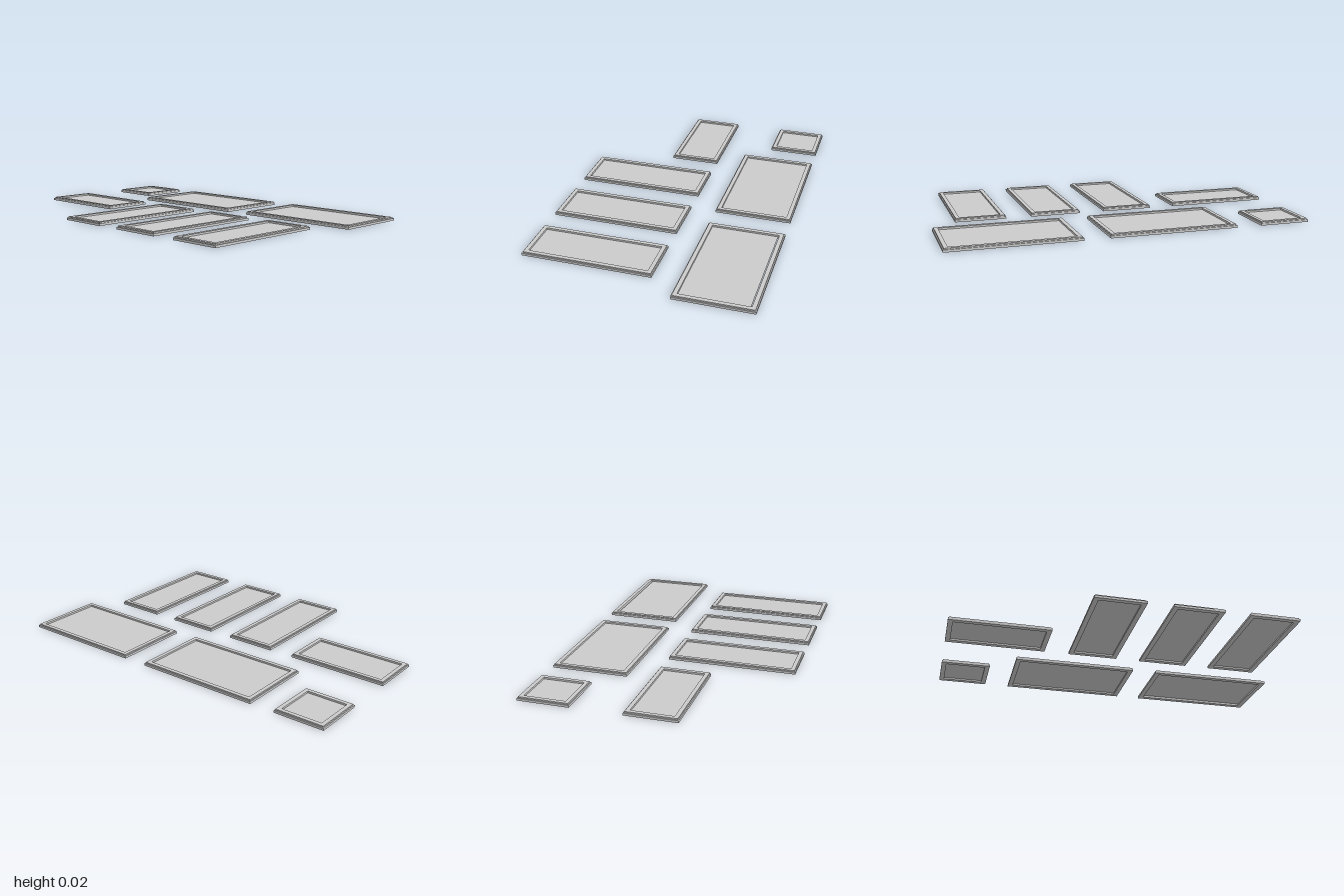
import * as THREE from 'three';

const material = new THREE.MeshStandardMaterial({ color: 0xcccccc, flatShading: true });
const paneMaterial = new THREE.MeshStandardMaterial({ color: 0xcccccc, side: THREE.DoubleSide });

const CELL = 1 / 7; // layout module
const BAR = 0.028; // frame bar width

// Stepped frame section as [inset, height], going up the outside and down the inside
const SECTION = [[0, 0], [0, 0.013], [0.006, 0.013], [0.006, 0.02], [BAR, 0.02], [BAR, 0]];
const CORNERS = [[1, 1], [1, -1], [-1, -1], [-1, 1]];

// Sweep the section round a rectangle with mitred corners
function frameGeometry(w, d) {
  const positions = [];
  const point = (corner, [inset, y]) => {
    const [sx, sz] = CORNERS[corner % 4];
    return [sx * (w / 2 - inset), y, sz * (d / 2 - inset)];
  };
  SECTION.forEach((p, j) => {
    const q = SECTION[(j + 1) % SECTION.length];
    for (let k = 0; k < 4; k++) {
      const a = point(k, p), b = point(k + 1, p), c = point(k + 1, q), e = point(k, q);
      positions.push(...a, ...b, ...c, ...a, ...c, ...e);
    }
  });
  const geometry = new THREE.BufferGeometry();
  geometry.setAttribute('position', new THREE.Float32BufferAttribute(positions, 3));
  geometry.computeVertexNormals();
  return geometry;
}

// One framed window; backGap leaves a slit behind the pane
function makeWindow(name, x0, z0, columns, rows, backGap = 0) {
  const w = columns * CELL, d = rows * CELL;
  const group = new THREE.Group();
  group.name = name;

  const frame = new THREE.Mesh(frameGeometry(w, d), material);
  frame.name = 'frame';

  const paneGeometry = new THREE.PlaneGeometry(w - 2 * BAR, d - 2 * BAR - backGap).rotateX(-Math.PI / 2);
  const pane = new THREE.Mesh(paneGeometry, paneMaterial);
  pane.name = 'pane';
  pane.position.set(0, 0.01, backGap / 2);

  group.add(frame, pane);
  group.position.set(x0 * CELL + w / 2, 0, z0 * CELL + d / 2);
  return group;
}

export function createModel() {
  const model = new THREE.Group();
  model.name = 'windowSet';

  // Back row
  model.add(
    makeWindow('smallSquareWindow', -7, -4.5, 2, 2),
    makeWindow('wideWindow', -4, -4.5, 5, 3),
    makeWindow('wideWindowWithGap', 2, -4.5, 5, 3, 0.007),
  );

  // Front row
  model.add(makeWindow('lowWindow', -7, -0.5, 4, 2));
  for (let i = 0; i < 3; i++) model.add(makeWindow('tallWindow' + (i + 1), -2 + 3 * i, -0.5, 2, 5));

  return model;
}
